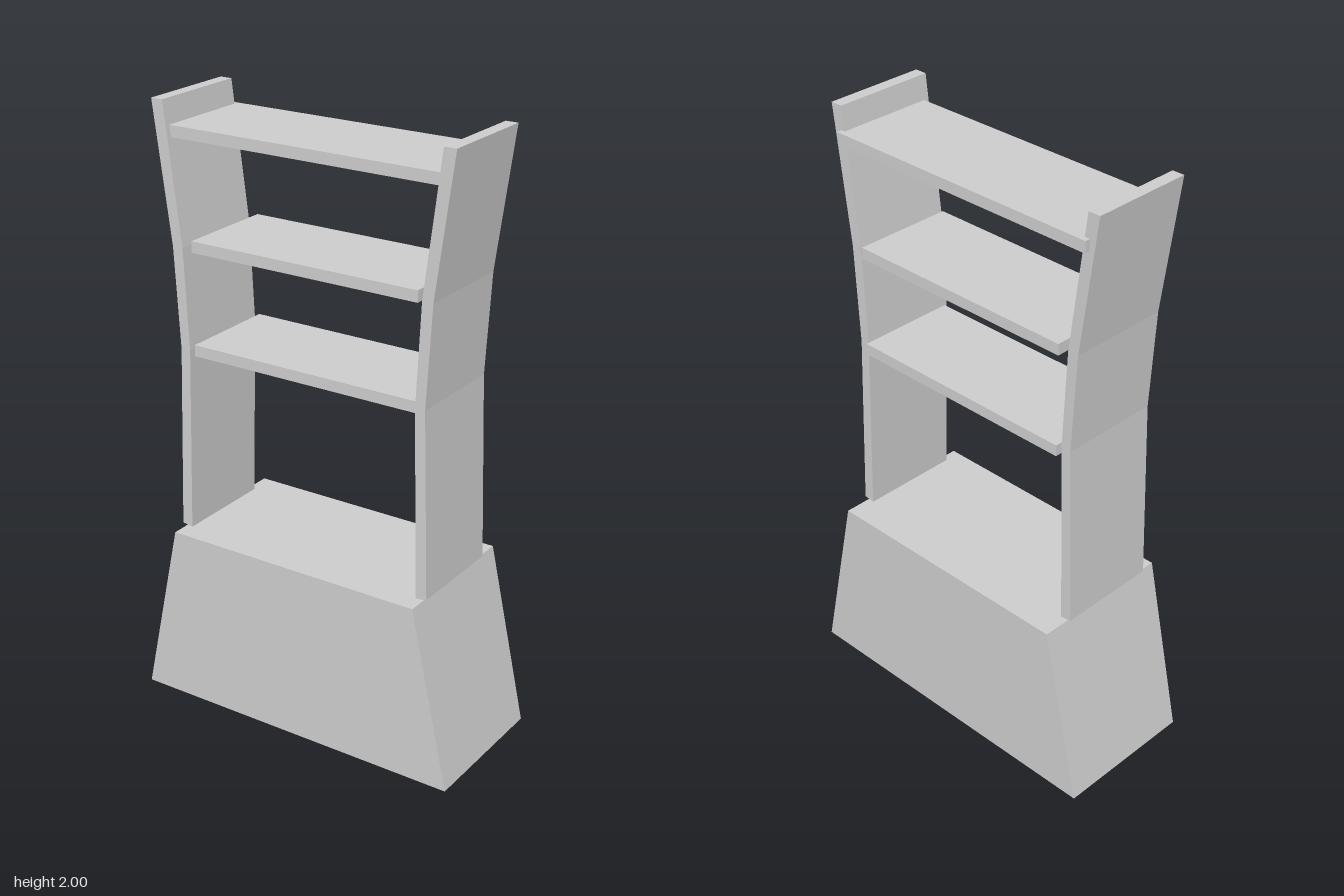
import * as THREE from 'three';

const material = new THREE.MeshStandardMaterial({ color: 0xcccccc, flatShading: true });

// Extrudes an x/y outline from zBack to zFront
function slab(name, points, zBack, zFront) {
  const shape = new THREE.Shape(points.map(([x, y]) => new THREE.Vector2(x, y)));
  const geometry = new THREE.ExtrudeGeometry(shape, { depth: zFront - zBack, bevelEnabled: false });
  geometry.translate(0, 0, zBack);
  const mesh = new THREE.Mesh(geometry, material);
  mesh.name = name;
  return mesh;
}

export function createModel() {
  const group = new THREE.Group();
  group.name = 'shelfUnit';

  // Tapered solid base
  group.add(slab('base', [[-0.58, 0], [0.58, 0], [0.45, 0.6], [-0.45, 0.6]], -0.245, 0.245));

  // Bowed side panels: inner edge going up, outer edge coming back down
  const inner = [[0.426, 0.602], [0.41, 1.22], [0.426, 1.55], [0.484, 2]];
  const outer = [[0.525, 2], [0.463, 1.55], [0.444, 1.22], [0.463, 0.607]];
  for (const [name, side] of [['leftSide', 1], ['rightSide', -1]]) {
    const outline = [...inner, ...outer].map(([x, y]) => [x * side, y]);
    group.add(slab(name, outline, -0.155, 0.186));
  }

  // Shelves, set slightly back from the sides; the top one is wider
  for (const [name, y, width] of [['lowerShelf', 1.215, 0.806], ['middleShelf', 1.553, 0.806], ['topShelf', 1.903, 0.98]]) {
    const shelf = new THREE.Mesh(new THREE.BoxGeometry(width, 0.037, 0.34), material);
    shelf.name = name;
    shelf.position.set(-0.002, y, -0.002);
    group.add(shelf);
  }
  return group;
}
